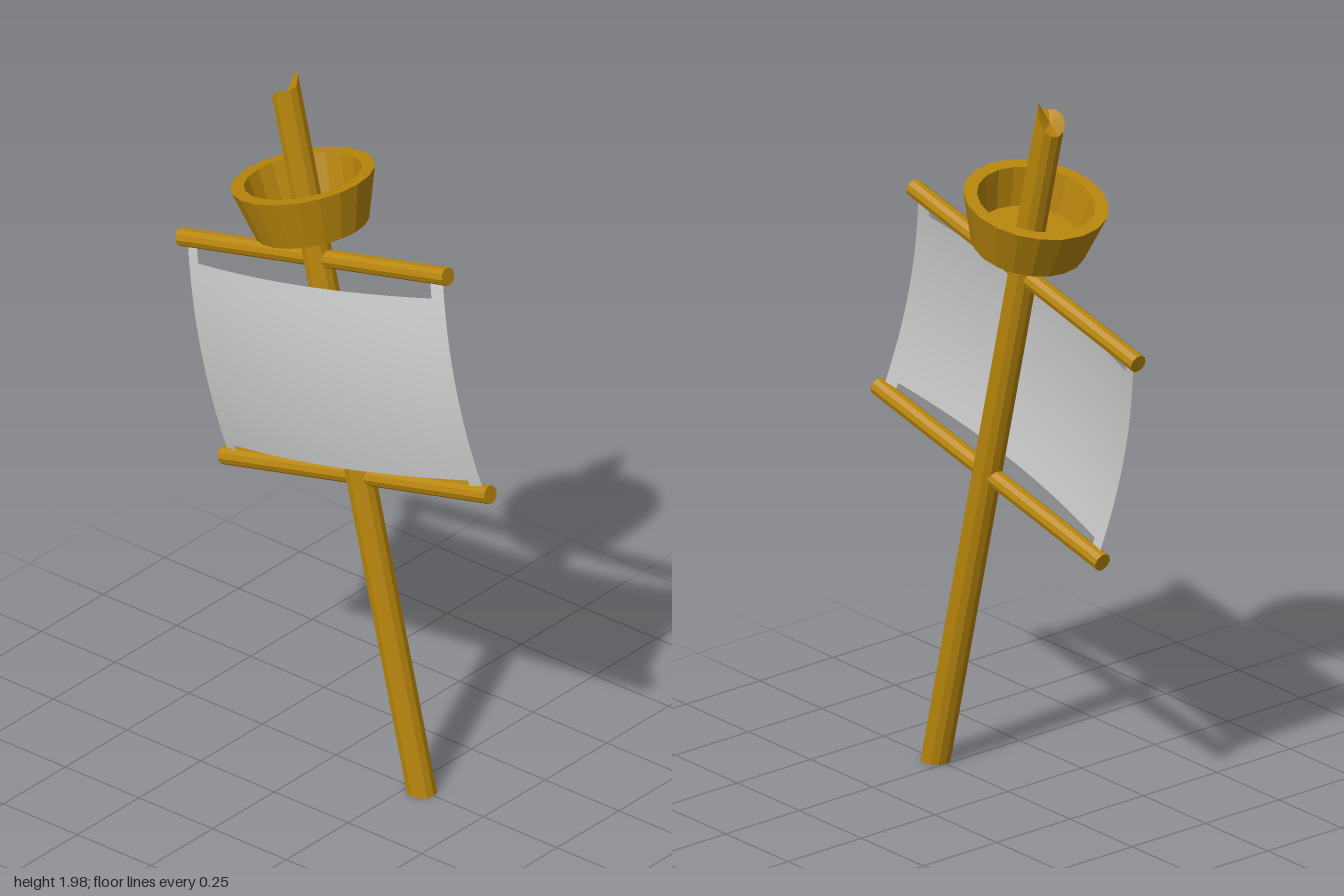
import * as THREE from 'three';

const TILT = THREE.MathUtils.degToRad(13.4);
const wood = new THREE.MeshStandardMaterial({ color: 0xb8860b, flatShading: true });
const cloth = new THREE.MeshStandardMaterial({ color: 0xcccccc, side: THREE.DoubleSide });

function addMesh(parent, name, geometry, material) {
  const mesh = new THREE.Mesh(geometry, material);
  mesh.name = name;
  parent.add(mesh);
  return mesh;
}

// Pole cut level with the ground, with a splintered top
function mastGeometry() {
  const geo = new THREE.CylinderGeometry(0.04, 0.04, 2, 12);
  const p = geo.attributes.position;
  for (let i = 0; i < p.count; i++) {
    const x = p.getX(i), z = p.getZ(i);
    if (p.getY(i) < 0) {
      p.setY(i, -x * Math.tan(TILT));
    } else {
      const spike = Math.max(0, 1 - Math.hypot(x - 0.023, z + 0.025) / 0.035);
      const centre = Math.hypot(x, z) < 0.01;
      p.setY(i, centre ? 1.985 : 1.99 + 0.65 * Math.min(x, 0.01) + 0.055 * spike + 0.2 * Math.max(z, 0));
    }
  }
  geo.computeVertexNormals();
  return geo;
}

// Rectangular piece of the billowing sail surface
const SAIL = { centre: -0.012, half: 0.445, bottom: 0.9, top: 1.51 };
function sailPatch(s0, s1, y0, y1, nx, ny) {
  const geo = new THREE.PlaneGeometry(1, 1, nx, ny);
  const p = geo.attributes.position;
  for (let i = 0; i < p.count; i++) {
    const s = THREE.MathUtils.lerp(s0, s1, p.getX(i) + 0.5);
    const y = THREE.MathUtils.lerp(y0, y1, p.getY(i) + 0.5);
    const t = (y - SAIL.bottom) / (SAIL.top - SAIL.bottom);
    const z = 0.03 * 4 * t * (1 - t) + 0.044 * (1 - s * s);
    p.setXYZ(i, SAIL.centre + s * SAIL.half, y, z);
  }
  geo.computeVertexNormals();
  return geo;
}

export function createModel() {
  const model = new THREE.Group();
  model.name = 'brokenMast';

  // Everything leans together with the mast
  const rig = new THREE.Group();
  rig.name = 'leaningRig';
  rig.position.x = 0.291;
  rig.rotation.z = TILT;
  model.add(rig);

  addMesh(rig, 'mast', mastGeometry(), wood);

  // Yards above and below the sail
  for (const [name, y] of [['lowerYard', 0.896], ['upperYard', 1.515]]) {
    const yard = addMesh(rig, name, new THREE.CylinderGeometry(0.025, 0.025, 0.93, 10), wood);
    yard.rotation.z = Math.PI / 2;
    yard.position.set(-0.012, y, 0);
  }

  // Hollow lookout tub
  const tub = [[0, 1.604], [0.151, 1.604], [0.192, 1.745], [0.156, 1.745], [0.137, 1.635], [0, 1.635]];
  addMesh(rig, 'lookoutTub',
    new THREE.LatheGeometry(tub.map(([r, y]) => new THREE.Vector2(r, y)), 20), wood);

  // Sail with a narrow tab at each corner
  const low = 0.935, high = 1.453;
  const sail = new THREE.Group();
  sail.name = 'sail';
  rig.add(sail);
  addMesh(sail, 'sailCloth', sailPatch(-1, 1, low, high, 16, 12), cloth);
  for (const [side, s0, s1] of [['right', -1, -0.915], ['left', 0.915, 1]]) {
    addMesh(sail, side + 'LowerTab', sailPatch(s0, s1, SAIL.bottom, low, 1, 2), cloth);
    addMesh(sail, side + 'UpperTab', sailPatch(s0, s1, high, SAIL.top, 1, 2), cloth);
  }
  return model;
}
